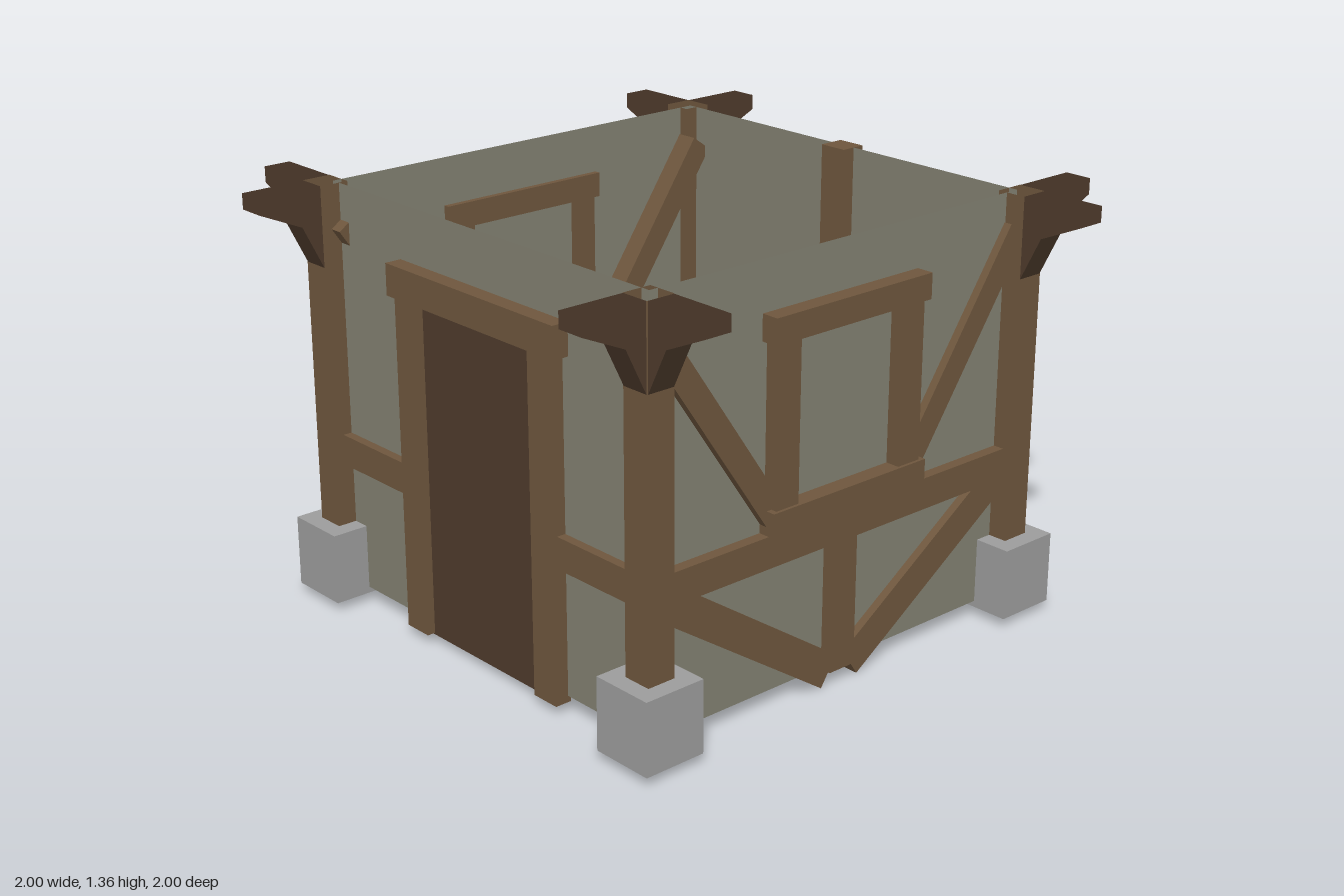
import * as THREE from 'three';

const material = (color) => new THREE.MeshStandardMaterial({ color, side: THREE.DoubleSide, flatShading: true });

// Remove the faces of a geometry that point straight up (1) or down (-1)
function openFaces(geometry, ...directions) {
  const source = geometry.index ? geometry.toNonIndexed() : geometry;
  const p = source.attributes.position;
  const n = source.attributes.normal;
  const kept = [];
  for (let i = 0; i < p.count; i += 3) {
    if (directions.some((d) => n.getY(i) * d > 0.99)) continue;
    for (let k = i; k < i + 3; k++) kept.push(p.getX(k), p.getY(k), p.getZ(k));
  }
  const result = new THREE.BufferGeometry();
  result.setAttribute('position', new THREE.Float32BufferAttribute(kept, 3));
  result.computeVertexNormals();
  return result;
}

// Box given by its limits on each axis
function block([x0, x1], [y0, y1], [z0, z1]) {
  return new THREE.BoxGeometry(x1 - x0, y1 - y0, z1 - z0)
    .translate((x0 + x1) / 2, (y0 + y1) / 2, (z0 + z1) / 2);
}

export function createModel() {
  const model = new THREE.Group();
  model.name = 'timberFrameRoom';
  const wood = material(0x6e563d);
  const darkWood = material(0x4e3b2c);
  const stone = material(0x9c9c9c);
  const plaster = material(0x828071);

  const add = (parent, name, geometry, mat) => {
    const mesh = new THREE.Mesh(geometry, mat);
    mesh.name = name;
    parent.add(mesh);
    return mesh;
  };

  // Thin plaster walls, open above and below
  const wall = (name, width, x, z, turn) => {
    const mesh = add(model, name, new THREE.PlaneGeometry(width, 1.315), plaster);
    mesh.position.set(x, 0.7075, z);
    mesh.rotation.y = turn;
  };
  wall('frontWall', 1.44, 0, 0.72, 0);
  wall('backWall', 1.44, 0, -0.735, Math.PI);
  wall('leftWall', 1.455, 0.72, -0.0075, Math.PI / 2);
  wall('rightWall', 1.455, -0.72, -0.0075, -Math.PI / 2);

  // Corner posts on stone footings, each with two brackets pointing outwards
  const arm = new THREE.Shape([
    [0, 1.365], [0, 1.11], [0.07, 1.25 - 0.14 + 0.14], [0.215, 1.315], [0.215, 1.365],
  ].map(([r, y]) => new THREE.Vector2(r, y)));
  const bracketGeometry = openFaces(
    new THREE.ExtrudeGeometry(arm, { depth: 0.09, bevelEnabled: false }).translate(0, 0, -0.045), 1);
  const c = 0.737;
  for (const sx of [1, -1]) {
    for (const sz of [1, -1]) {
      const corner = new THREE.Group();
      corner.name = (sz > 0 ? 'front' : 'back') + (sx > 0 ? 'Left' : 'Right') + 'Corner';
      corner.position.set(sx * c, 0, sz * c);
      model.add(corner);
      add(corner, 'post', openFaces(block([-0.0475, 0.0475], [0.03, 1.365], [-0.0475, 0.0475]), 1, -1), wood);
      add(corner, 'footing', openFaces(block([-0.104, 0.104], [0.03, 0.26], [-0.104, 0.104]), -1), stone);
      const sideBracket = add(corner, 'sideBracket', bracketGeometry, darkWood);
      sideBracket.position.x = sx * 0.048;
      sideBracket.rotation.y = sx > 0 ? 0 : Math.PI;
      const endBracket = add(corner, 'endBracket', bracketGeometry, darkWood);
      endBracket.position.z = sz * 0.048;
      endBracket.rotation.y = -sz * Math.PI / 2;
    }
  }

  // Front: door, its frame and a rail on each side
  add(model, 'door', block([-0.27, 0.27], [0.025, 1.1], [0.705, 0.738]), darkWood);
  add(model, 'doorHead', block([-0.385, 0.385], [1.095, 1.195], [0.71, 0.775]), wood);
  for (const s of [1, -1]) {
    const span = (a, b) => (s > 0 ? [a, b] : [-b, -a]);
    add(model, 'doorJamb', block(span(0.26, 0.36), [0.03, 1.097], [0.71, 0.765]), wood);
    add(model, 'frontRail', block(span(0.355, 0.7), [0.46, 0.56], [0.69, 0.75]), wood);
  }

  // Back: rail and middle stud
  add(model, 'backRail', block([-0.7, 0.7], [0.46, 0.56], [-0.765, -0.705]), wood);
  add(model, 'backStud', block([-0.048, 0.048], [0.03, 1.365], [-0.775, -0.69]), wood);

  // Sides: rail, stud, window frame and diagonal braces
  const brace = (side, x, z0, y0, z1, y1, thickness) => {
    const length = Math.hypot(z1 - z0, y1 - y0);
    const geometry = new THREE.BoxGeometry(0.1, thickness, length);
    geometry.rotateX(-Math.atan2(y1 - y0, z1 - z0));
    geometry.translate(x, (y0 + y1) / 2, (z0 + z1) / 2);
    add(side, 'brace', geometry, wood);
  };
  for (const s of [1, -1]) {
    const side = new THREE.Group();
    side.name = s > 0 ? 'leftSide' : 'rightSide';
    model.add(side);
    const span = (a, b) => (s > 0 ? [a, b] : [-b, -a]);
    add(side, 'sideRail', block(span(0.695, 0.757), [0.46, 0.56], [-0.7, 0.7]), wood);
    add(side, 'sideStud', block(span(0.695, 0.757), [0.045, 0.46], [-0.05, 0.05]), wood);
    add(side, 'windowHead', block(span(0.7, 0.777), [1.13, 1.21], [-0.31, 0.31]), wood);
    add(side, 'windowSill', block(span(0.7, 0.777), [0.55, 0.635], [-0.31, 0.31]), wood);
    for (const f of [1, -1]) {
      add(side, 'windowJamb',
        block(span(0.705, 0.767), [0.63, 1.135], f > 0 ? [0.205, 0.292] : [-0.292, -0.205]), wood);
      brace(side, s * 0.697, f * 0.235, 0.552, f * 0.72, 1.25, 0.083);
      brace(side, s * 0.697, f * 0.045, 0.045, f * 0.69, 0.475, 0.108);
    }
  }
  return model;
}
